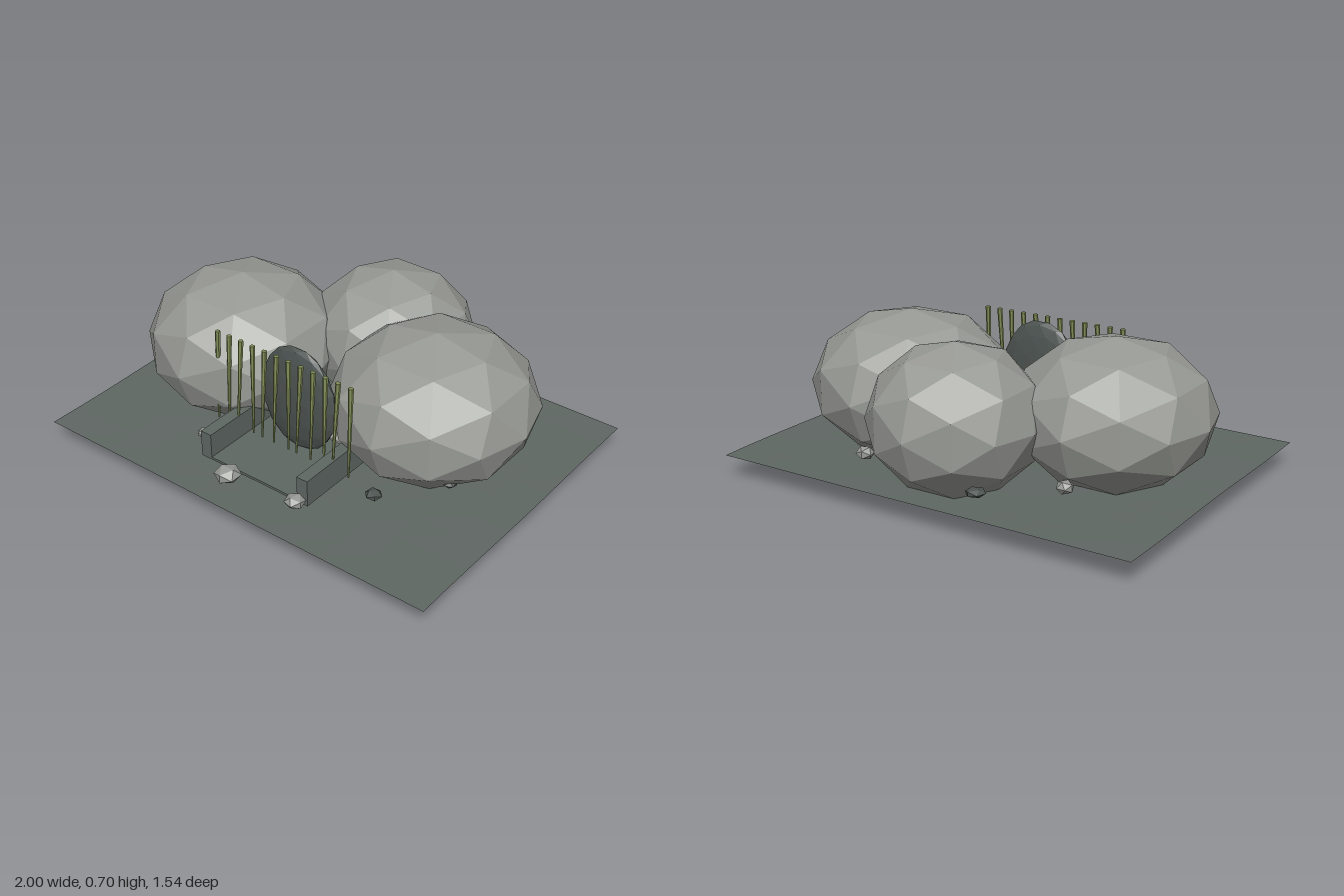
import * as THREE from 'three';

const mat = (name, color, extra = {}) =>
  Object.assign(new THREE.MeshStandardMaterial({ color, flatShading: true, ...extra }), { name });

export function createModel() {
  const group = new THREE.Group();
  const stone = mat('paleStone', 0x979994);
  const stepStone = mat('stepStone', 0xa0a39d);
  const slate = mat('slate', 0x5f6763);
  const ground = mat('groundSlate', 0x5f6763, { side: THREE.DoubleSide });
  const darkStone = mat('darkStone', 0x4c5351);
  const olive = mat('olive', 0x7f8c56);

  const add = (name, geometry, material, x, y, z) => {
    const mesh = new THREE.Mesh(geometry, material);
    mesh.name = name;
    mesh.position.set(x, y, z);
    group.add(mesh);
    return mesh;
  };
  // Box given by its lowest and highest corners
  const box = (name, material, [x0, y0, z0], [x1, y1, z1]) =>
    add(name, new THREE.BoxGeometry(x1 - x0, y1 - y0, z1 - z0), material,
      (x0 + x1) / 2, (y0 + y1) / 2, (z0 + z1) / 2);

  // Slightly uneven ground sheet
  const sheet = new THREE.PlaneGeometry(2, 1.49, 12, 10).rotateX(-Math.PI / 2);
  const p = sheet.attributes.position;
  for (let i = 0; i < p.count; i++) {
    p.setY(i, 0.003 * Math.sin(p.getX(i) * 5) * Math.cos(p.getZ(i) * 6));
  }
  sheet.computeVertexNormals();
  add('ground', sheet, ground, 0, 0.101, 0.025);

  // Three big faceted boulders
  const boulder = new THREE.IcosahedronGeometry(1, 1);
  [
    ['rightBoulder', -0.51, 0.025, 0.44],
    ['leftBoulder', 0.45, -0.08, 0.453],
    ['backBoulder', 0, -0.395, 0.38],
  ].forEach(([name, x, z, r]) => add(name, boulder, stone, x, 0.37, z).scale.set(r, 0.33, r));

  // Flattened doorway between the front boulders
  add('doorway', new THREE.IcosahedronGeometry(1, 2), darkStone, 0, 0.378, 0.27)
    .scale.set(0.2, 0.252, 0.045);

  // Steps rising toward the doorway
  for (let i = 0; i < 4; i++) {
    const y = i * 0.035, z = 0.563 - i * 0.132;
    box('step', stepStone, [-0.222, y, z - 0.132], [0.222, y + 0.045, z]);
  }

  // Entrance slab with a low wall on each side
  box('entranceSlab', slate, [-0.235, 0.13, 0.04], [0.235, 0.142, 0.575]);
  for (const side of [-1, 1]) {
    const wall = box('entranceWall', slate, [-0.0275, 0.13, 0.04], [0.0275, 0.255, 0.575]);
    wall.position.x = side * 0.26;
  }

  // Row of hanging vines, thick at the top and leaning slightly
  const top = new THREE.Vector3(), end = new THREE.Vector3(), down = new THREE.Vector3(0, -1, 0);
  for (let i = 0; i < 12; i++) {
    top.set(-0.357 + i * 0.0641, 0.622, 0.367);
    end.set(top.x + 0.012 * Math.sin(i * 2.3 + 0.6), 0.2, 0.392);
    const dir = end.clone().sub(top);
    const vine = add('vine', new THREE.CylinderGeometry(0.012, 0.004, dir.length(), 6), olive,
      (top.x + end.x) / 2, (top.y + end.y) / 2, (top.z + end.z) / 2);
    vine.quaternion.setFromUnitVectors(down, dir.normalize());
  }

  // Scattered pebbles: x, z, half width, half height, material
  const pebble = new THREE.IcosahedronGeometry(1, 0);
  [
    [-0.08, 0.645, 0.06, 0.038, stone],
    [0.255, 0.615, 0.046, 0.03, stone],
    [-0.355, 0.49, 0.028, 0.022, stone],
    [0.48, 0.385, 0.038, 0.022, darkStone],
    [0.68, 0.13, 0.035, 0.02, darkStone],
    [0.4, -0.5, 0.042, 0.032, stone],
    [-0.51, -0.37, 0.04, 0.03, stone],
    [-0.24, -0.61, 0.045, 0.02, darkStone],
  ].forEach(([x, z, r, h, m], i) => {
    const rock = add('pebble', pebble, m, x, 0.168, z);
    rock.scale.set(r, h, r);
    rock.rotation.y = i * 1.3;
  });

  return group;
}
